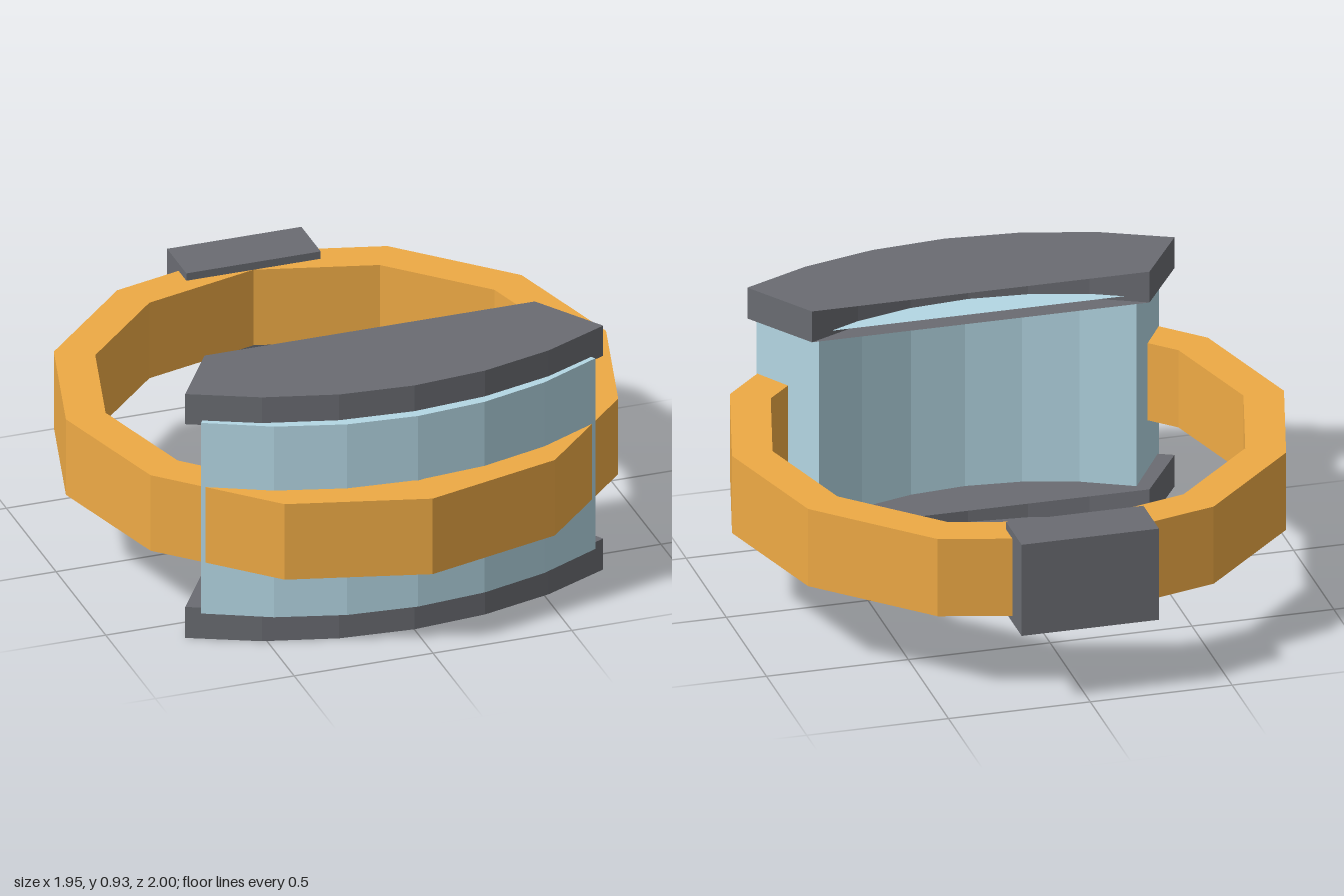
import * as THREE from 'three';

const material = (color) =>
  new THREE.MeshStandardMaterial({ color, flatShading: true, side: THREE.DoubleSide });
const orange = material(0xeeaa45);
const glass = material(0xb4d7e4);
const grey = material(0x6a6c72);

// Arc of points from -x to +x, bulging towards +z
function arc(tipX, tipZ, sag, half = 0.55, n = 6) {
  return Array.from({ length: n + 1 }, (_, i) => {
    const a = half * (2 * i / n - 1);
    const bulge = (Math.cos(a) - Math.cos(half)) / (1 - Math.cos(half));
    return [tipX * Math.sin(a) / Math.sin(half), tipZ + sag * bulge];
  });
}

// Curved block: convex front wall, concave back wall, and end plates
// that run straight across the hollow of the back
function curvedBlock(outerArc, innerArc, y0, y1) {
  const outline = [...outerArc, ...innerArc.slice().reverse()];
  const plate = [...outerArc, innerArc[innerArc.length - 1], innerArc[0]];
  const pos = [];
  const put = (p, y) => pos.push(p[0], y, p[1]);
  outline.forEach((a, i) => {
    const b = outline[(i + 1) % outline.length];
    put(a, y0); put(b, y0); put(b, y1);
    put(a, y0); put(b, y1); put(a, y1);
  });
  for (let i = 1; i < plate.length - 1; i++) {
    put(plate[0], y1); put(plate[i], y1); put(plate[i + 1], y1);
    put(plate[0], y0); put(plate[i + 1], y0); put(plate[i], y0);
  }
  const geo = new THREE.BufferGeometry();
  geo.setAttribute('position', new THREE.Float32BufferAttribute(pos, 3));
  geo.computeVertexNormals();
  return geo;
}

export function createModel() {
  const model = new THREE.Group();
  const add = (name, geometry, mat) => {
    const mesh = new THREE.Mesh(geometry, mat);
    mesh.name = name;
    model.add(mesh);
    return mesh;
  };

  // Twelve-sided band
  const [ri, ro, y0, y1] = [0.83, 0.973, 0.3, 0.588];
  const profile = [[ri, y0], [ro, y0], [ro, y1], [ri, y1], [ri, y0]]
    .map(([r, y]) => new THREE.Vector2(r, y));
  add('band', new THREE.LatheGeometry(profile, 12), orange).position.z = 0.024;

  // Curved pane at the front
  add('pane', curvedBlock(arc(0.71, 0.65, 0.2), arc(0.56, 0.4, 0.16), 0.105, 0.832), glass);

  // Caps above and below the pane
  const capOuter = arc(0.753, 0.61, 0.202);
  const capInner = arc(0.595, 0.363, 0.16);
  add('lowerCap', curvedBlock(capOuter, capInner, 0, 0.118), grey);
  add('upperCap', curvedBlock(capOuter, capInner, 0.815, 0.93), grey);

  // Block at the back of the band
  add('backBlock', new THREE.BoxGeometry(0.484, 0.34, 0.194), grey).position.set(0, 0.446, -0.903);

  return model;
}
